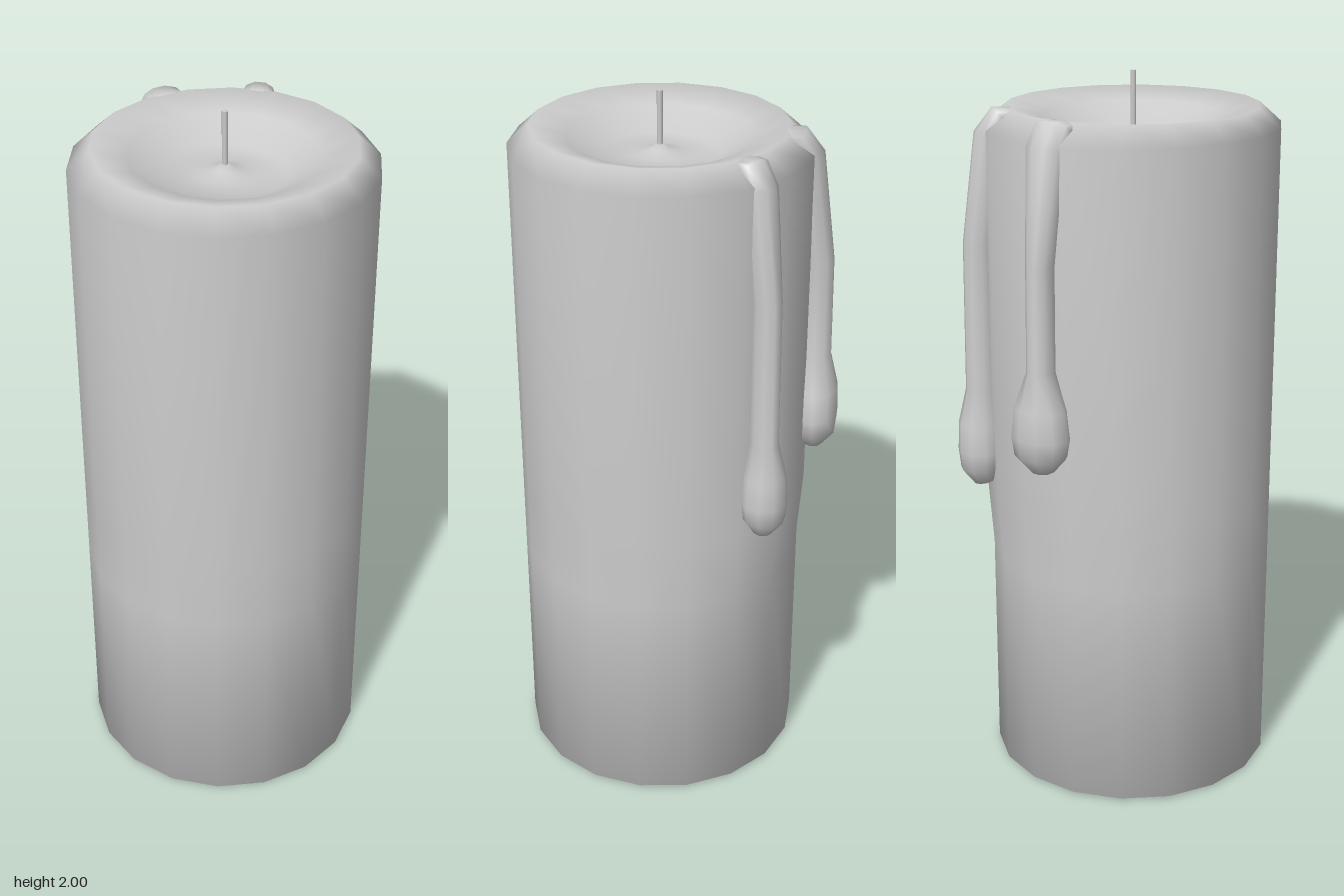
import * as THREE from 'three';
import { mergeVertices } from 'three/addons/utils/BufferGeometryUtils.js';

const CENTER_Z = 0.048;
const wax = new THREE.MeshStandardMaterial({ color: 0xcccccc });

function named(geometry, name) {
  const mesh = new THREE.Mesh(geometry, wax);
  mesh.name = name;
  return mesh;
}

// Pillar with bevelled rim and a melted bowl, swollen slightly under the drips
function candleBody() {
  const profile = [
    [0, 0], [0.403, 0.006], [0.403, 0.65], [0.403, 0.84], [0.403, 1.86], [0.345, 1.912],
    [0.25, 1.882], [0.16, 1.83], [0.07, 1.832], [0.025, 1.845], [0, 1.86],
  ].map(([r, y]) => new THREE.Vector2(r, y));
  let geo = new THREE.LatheGeometry(profile, 18, THREE.MathUtils.degToRad(5));
  geo.deleteAttribute('uv');
  geo.deleteAttribute('normal');
  geo = mergeVertices(geo);
  const p = geo.attributes.position;
  for (let i = 0; i < p.count; i++) {
    const x = p.getX(i), y = p.getY(i), z = p.getZ(i);
    if (y > 0.8 && Math.hypot(x, z) > 0.39 && z < -0.25 && x < 0.12) {
      p.setXYZ(i, x * 1.035, y, z * 1.035);
    }
  }
  geo.computeVertexNormals();
  return geo;
}

// Loft of ellipses along a path in the y-z plane: [distance out, y, half width, half depth]
function loft(sections, sides = 10) {
  const pos = [], index = [];
  const n = sections.length;
  sections.forEach(([r, y, w, h], i) => {
    const a = sections[Math.max(i - 1, 0)], b = sections[Math.min(i + 1, n - 1)];
    const len = Math.hypot(b[0] - a[0], b[1] - a[1]);
    const ny = (b[0] - a[0]) / len, nz = -(b[1] - a[1]) / len;
    for (let k = 0; k < sides; k++) {
      const t = (k / sides) * Math.PI * 2;
      pos.push(Math.cos(t) * w, y + Math.sin(t) * h * ny, r + Math.sin(t) * h * nz);
    }
  });
  for (let i = 0; i < n - 1; i++) {
    for (let k = 0; k < sides; k++) {
      const a = i * sides + k, b = i * sides + (k + 1) % sides;
      index.push(a, b, a + sides, b, b + sides, a + sides);
    }
  }
  // End caps
  const last = (n - 1) * sides;
  for (let k = 1; k < sides - 1; k++) {
    index.push(0, k + 1, k, last, last + k, last + k + 1);
  }
  const geo = new THREE.BufferGeometry();
  geo.setAttribute('position', new THREE.Float32BufferAttribute(pos, 3));
  geo.setIndex(index);
  geo.computeVertexNormals();
  return geo;
}

// Wax run: over the rim, down the side, ending in a round bulb
function drip(name, x, z, bottom, width) {
  const geo = loft([
    [0.335, 1.896, 0.045 * width, 0.018],
    [0.365, 1.894, 0.045 * width, 0.03],
    [0.392, 1.845, 0.047 * width, 0.044],
    [0.428, 1.55, 0.036, 0.046],
    [0.432, bottom + 0.28, 0.036, 0.046],
    [0.437, bottom + 0.18, 0.058 * width, 0.064],
    [0.438, bottom + 0.1, 0.066 * width, 0.066],
    [0.438, bottom + 0.05, 0.06 * width, 0.06],
    [0.432, bottom + 0.005, 0.028 * width, 0.03],
    [0.43, bottom, 0.008, 0.008],
  ]);
  const mesh = named(geo, name);
  mesh.rotation.y = Math.atan2(x, z - CENTER_Z);
  mesh.position.z = CENTER_Z;
  return mesh;
}

export function createModel() {
  const group = new THREE.Group();
  group.name = 'candle';

  const body = named(candleBody(), 'candleBody');
  body.position.z = CENTER_Z;

  const wick = named(new THREE.CylinderGeometry(0.008, 0.008, 0.17, 8), 'wick');
  wick.position.set(0, 1.915, CENTER_Z);

  group.add(
    body,
    wick,
    drip('longDrip', 0.047, -0.39, 0.86, 1),
    drip('shortDrip', -0.24, -0.285, 0.99, 1.3),
  );
  return group;
}
